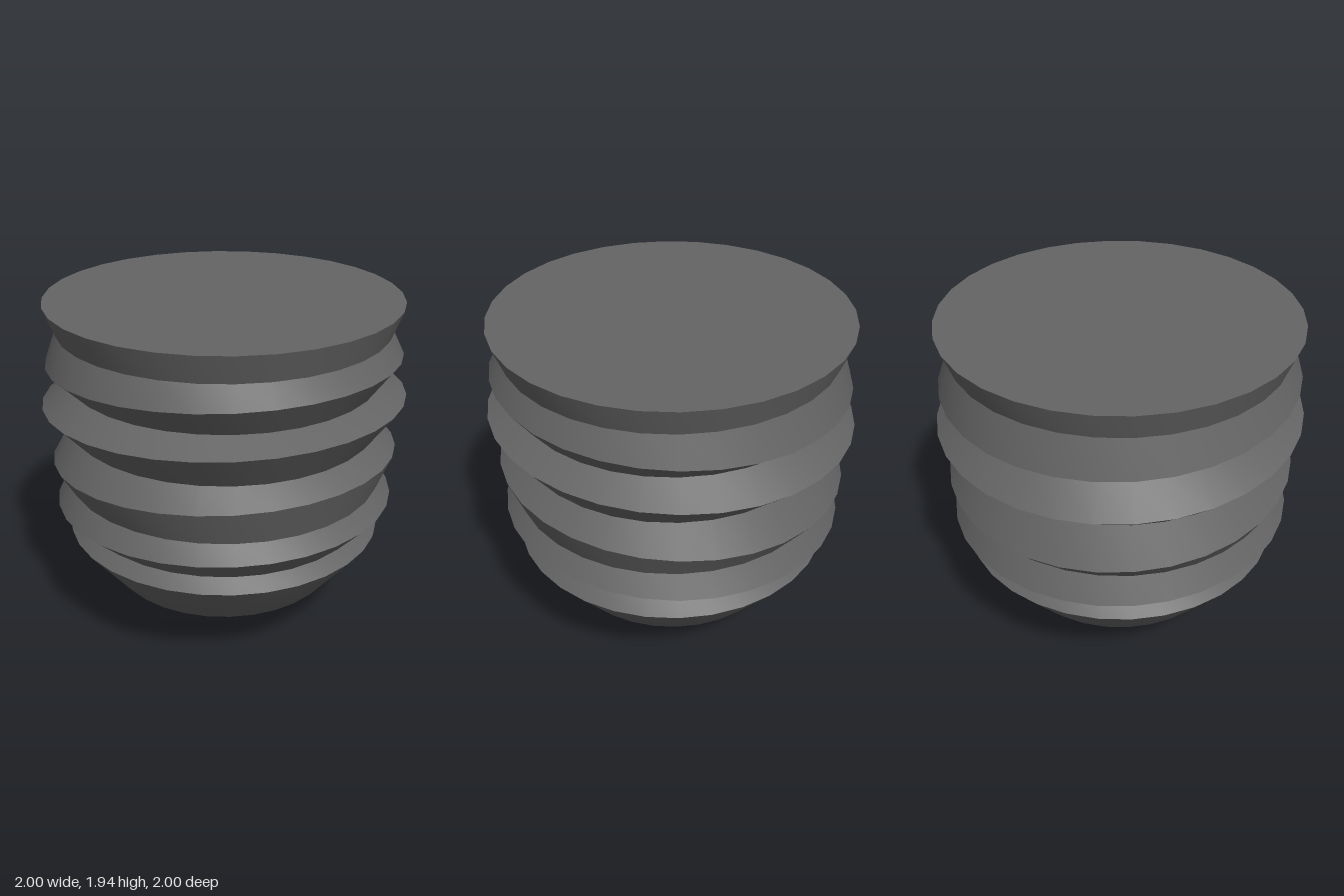
import * as THREE from 'three';
import { toCreasedNormals } from 'three/addons/utils/BufferGeometryUtils.js';

const SIDES = 32;

// radius, height, rise per unit of x (tilted crests suggest a thread)
const PROFILE = [
  [0.153, 0.06, 0],
  [0.65, 0.33, 0],
  [0.89, 0.63, 0],
  [0.82, 0.695, 0],
  [0.953, 0.812, 0.031],
  [0.88, 0.927, 0],
  [0.962, 1.081, 0.067],
  [0.85, 1.234, 0],
  [1.0, 1.4, 0.046],
  [0.85, 1.508, 0],
  [0.969, 1.628, 0.05],
  [0.903, 1.786, 0],
  [0.963, 1.942, 0],
];

export function createModel() {
  const group = new THREE.Group();
  const material = new THREE.MeshStandardMaterial({ color: 0x646464 });
  const add = (name, geometry) => {
    const mesh = new THREE.Mesh(geometry, material);
    mesh.name = name;
    group.add(mesh);
    return mesh;
  };

  // Threaded shell: a lathe whose crest rings are sheared along x
  const shell = new THREE.LatheGeometry(PROFILE.map(([r, y]) => new THREE.Vector2(r, y)), SIDES);
  const pos = shell.attributes.position;
  for (let i = 0; i < pos.count; i++) {
    const tilt = PROFILE[i % PROFILE.length][2];
    pos.setY(i, pos.getY(i) + tilt * pos.getX(i));
  }
  add('threadedShell', toCreasedNormals(shell, 0.55));

  // Flat lid closing the top rim
  const [rimRadius, rimHeight] = PROFILE[PROFILE.length - 1];
  const lid = add('topLid', new THREE.CircleGeometry(rimRadius, SIDES).rotateX(-Math.PI / 2));
  lid.position.y = rimHeight;

  // Small contact stud at the bottom
  const [studRadius, studHeight] = PROFILE[0];
  const stud = add('contactStud', new THREE.CylinderGeometry(studRadius, studRadius, studHeight, SIDES));
  stud.position.y = studHeight / 2;

  return group;
}
